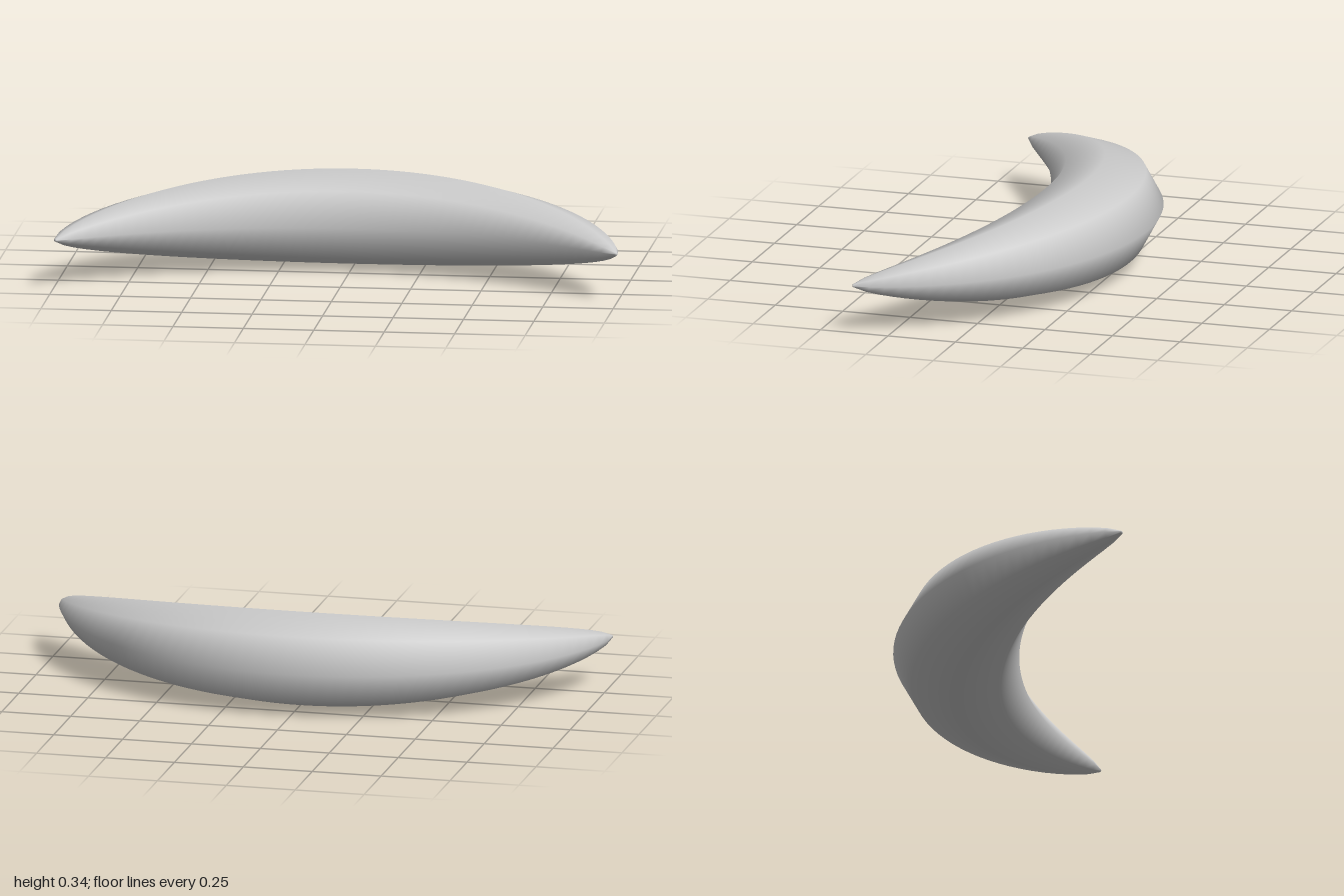
import * as THREE from 'three';

const SEGMENTS = 48, SIDES = 8;
const ARC_RADIUS = 1.181, HALF_ANGLE = THREE.MathUtils.degToRad(57.4);
const HALF_DEPTH = 0.2225, HALF_HEIGHT = 0.171, MID_Z = -0.163;

// Tapered eight-sided oval swept along a horizontal arc
function crescentGeometry() {
  const positions = [], index = [];
  for (let i = 0; i <= SEGMENTS; i++) {
    const t = (i / SEGMENTS) * 2 - 1;
    const angle = t * HALF_ANGLE;
    const taper = 0.03 + 0.97 * Math.pow(Math.max(0, Math.cos(t * Math.PI / 2)), 0.75);
    for (let j = 0; j < SIDES; j++) {
      const phi = (j / SIDES) * Math.PI * 2;
      const radius = ARC_RADIUS + HALF_DEPTH * taper * Math.cos(phi);
      positions.push(
        radius * Math.sin(angle),
        HALF_HEIGHT * (1 + taper * Math.sin(phi)),
        MID_Z + ARC_RADIUS - radius * Math.cos(angle)
      );
    }
  }
  for (let i = 0; i < SEGMENTS; i++) {
    for (let j = 0; j < SIDES; j++) {
      const a = i * SIDES + j, b = i * SIDES + (j + 1) % SIDES;
      index.push(a, b, a + SIDES, b, b + SIDES, a + SIDES);
    }
  }
  // Tiny caps closing both tips
  const last = SEGMENTS * SIDES;
  for (let j = 1; j < SIDES - 1; j++) {
    index.push(0, j + 1, j, last, last + j, last + j + 1);
  }
  const geometry = new THREE.BufferGeometry();
  geometry.setAttribute('position', new THREE.Float32BufferAttribute(positions, 3));
  geometry.setIndex(index);
  geometry.computeVertexNormals();
  return geometry;
}

export function createModel() {
  const group = new THREE.Group();
  group.name = 'crescent';
  const material = new THREE.MeshStandardMaterial({ color: 0xcccccc });
  material.name = 'light grey';
  const body = new THREE.Mesh(crescentGeometry(), material);
  body.name = 'crescentBody';
  group.add(body);
  return group;
}
